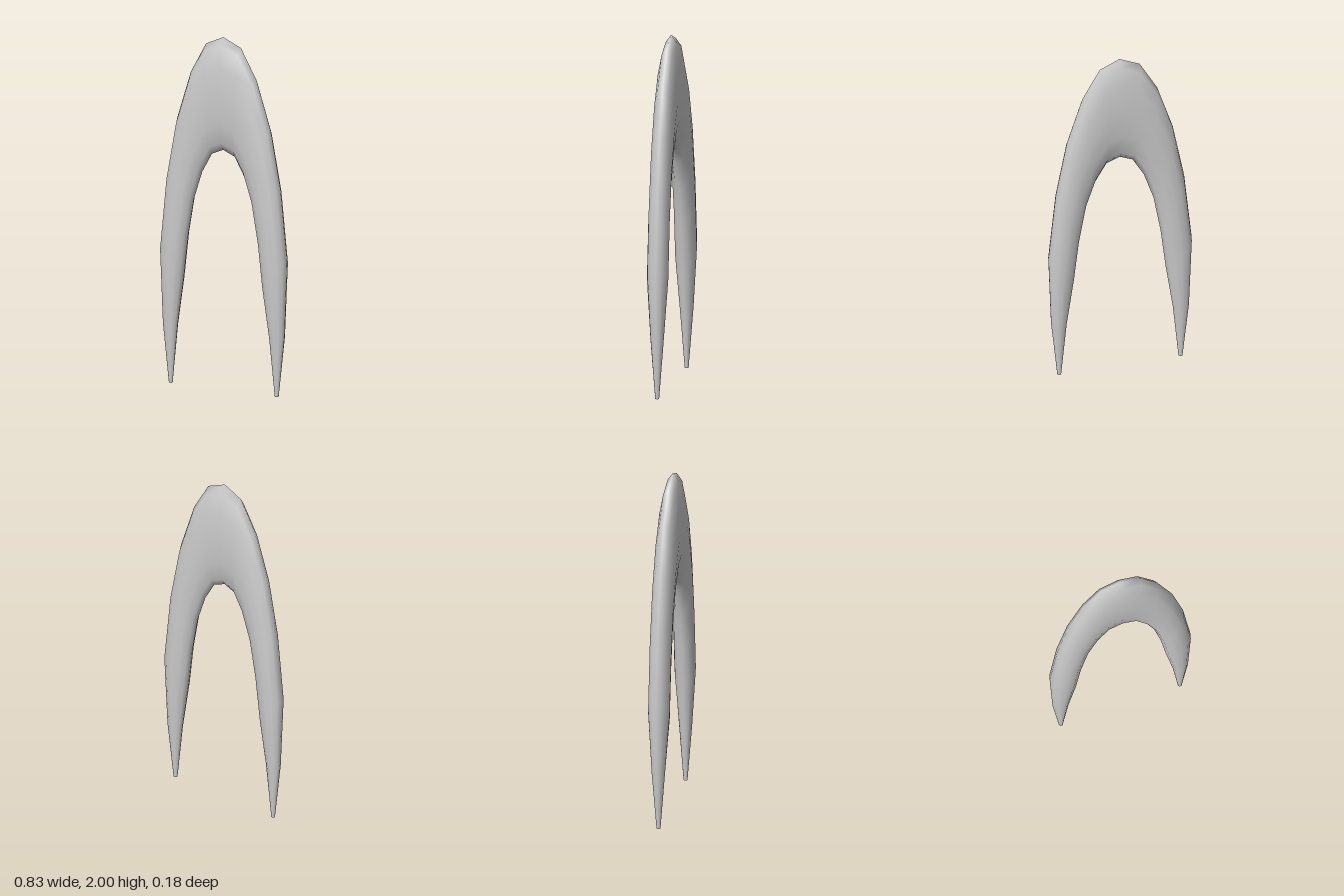
import * as THREE from 'three';

// Half profile from crown to leg tip: outer x, outer y, inner x, inner y, half depth
const PROFILE = [
  [0, 2, 0, 1.36, 0.06],
  [0.115, 1.95, 0.075, 1.33, 0.06],
  [0.215, 1.78, 0.14, 1.22, 0.06],
  [0.305, 1.51, 0.195, 1.06, 0.06],
  [0.37, 1.18, 0.235, 0.84, 0.06],
  [0.413, 0.77, 0.264, 0.6, 0.06],
  [0.397, 0.34, 0.305, 0.33, 0.037],
  [0.36, 0, 0.338, 0, 0.011],
];
const SIDES = 12;

// One elliptical cross-section of the arch; the two legs are offset in depth
function ring([ox, oy, ix, iy, depth], side) {
  const cx = (ox + ix) / 2, cy = (oy + iy) / 2;
  const cz = 0.005 + cx * (side > 0 ? 0.074 : -0.103);
  const points = [];
  for (let j = 0; j < SIDES; j++) {
    const a = (j / SIDES) * Math.PI * 2;
    const dx = Math.cos(a) * (ox - ix) / 2, dy = Math.cos(a) * (oy - iy) / 2;
    const twist = side < 0 ? -0.1 * dx : 0;
    points.push(new THREE.Vector3(side * (cx + dx), cy + dy, cz + twist + Math.sin(a) * depth));
  }
  return points;
}

function makeGeometry(points, index) {
  const geometry = new THREE.BufferGeometry().setFromPoints(points);
  geometry.setIndex(index);
  geometry.computeVertexNormals();
  return geometry;
}

export function createModel() {
  const group = new THREE.Group();
  group.name = 'taperedArch';
  const material = new THREE.MeshStandardMaterial({ color: 0xcccccc });
  const add = (name, geometry) => {
    const mesh = new THREE.Mesh(geometry, material);
    mesh.name = name;
    group.add(mesh);
  };

  // Rings run from the right tip over the crown to the left tip
  const rings = [
    ...PROFILE.slice(1).reverse().map((p) => ring(p, -1)),
    ...PROFILE.map((p) => ring(p, 1)),
  ];

  // Smooth arch body
  const index = [];
  for (let i = 0; i < rings.length - 1; i++) {
    for (let j = 0; j < SIDES; j++) {
      const a = i * SIDES + j, b = i * SIDES + (j + 1) % SIDES;
      index.push(a, b, a + SIDES, b, b + SIDES, a + SIDES);
    }
  }
  add('archBody', makeGeometry(rings.flat(), index));

  // Flat caps under the leg tips
  const cap = (points, flip) => {
    const faces = [];
    for (let j = 1; j < SIDES - 1; j++) faces.push(0, ...(flip ? [j + 1, j] : [j, j + 1]));
    return makeGeometry(points, faces);
  };
  add('rightTipCap', cap(rings[0], true));
  add('leftTipCap', cap(rings[rings.length - 1], false));
  return group;
}
